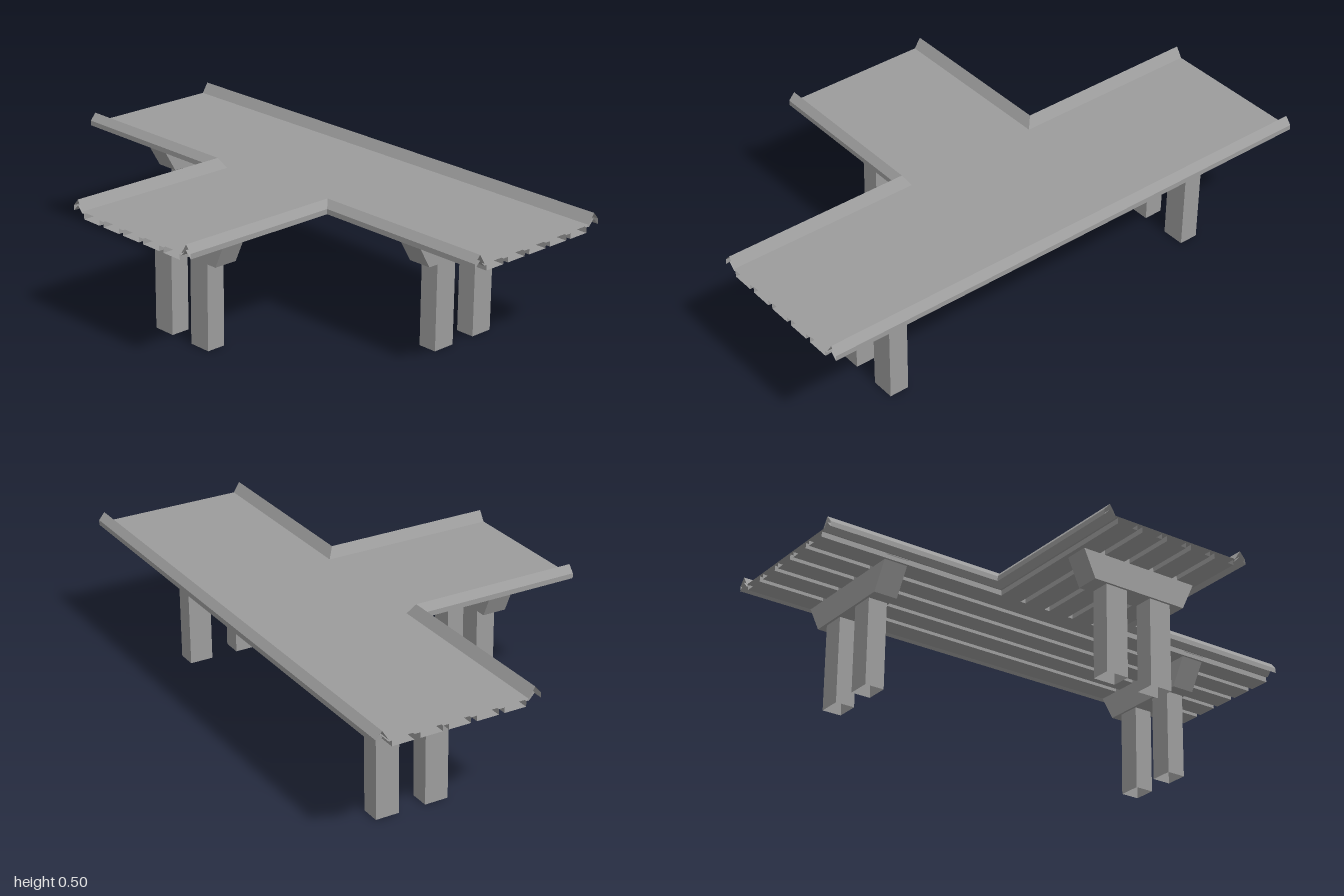
import * as THREE from 'three';

const material = new THREE.MeshStandardMaterial({ color: 0x9c9c9c, flatShading: true, side: THREE.DoubleSide });

function add(parent, name, geometry) {
  const mesh = new THREE.Mesh(geometry, material);
  mesh.name = name;
  parent.add(mesh);
  return mesh;
}

// Sweep an open profile [offset, y] through stations [x, z, offsetX, offsetZ]
function sweep(profile, stations) {
  const rows = stations.map(([x, z, dx, dz]) => profile.map(([d, y]) => [x + d * dx, y, z + d * dz]));
  const pos = [];
  for (let s = 0; s < rows.length - 1; s++) {
    for (let i = 0; i < profile.length - 1; i++) {
      const a = rows[s][i], b = rows[s][i + 1], c = rows[s + 1][i + 1], d = rows[s + 1][i];
      pos.push(...a, ...b, ...c, ...a, ...c, ...d);
    }
  }
  const g = new THREE.BufferGeometry();
  g.setAttribute('position', new THREE.Float32BufferAttribute(pos, 3));
  g.computeVertexNormals();
  return g;
}

// Row of box girders separated by narrow grooves, as an open underside profile
function girderProfile(from, to, count) {
  const pitch = (to - from) / count, gap = 0.011, high = 0.453, low = 0.433;
  const points = [[from, high]];
  for (let i = 0; i < count; i++) {
    const a = from + i * pitch + gap, b = from + (i + 1) * pitch - gap;
    points.push([a, high], [a, low], [b, low], [b, high]);
  }
  points.push([to, high]);
  return points;
}

// Trapezoid cap beam on two open-ended square columns, built along x
function pier(name, top, bottom, columns) {
  const group = new THREE.Group();
  group.name = name;
  const shape = new THREE.Shape([
    new THREE.Vector2(-bottom, 0.33), new THREE.Vector2(bottom, 0.33),
    new THREE.Vector2(top, 0.45), new THREE.Vector2(-top, 0.45)]);
  const cap = new THREE.ExtrudeGeometry(shape, { depth: 0.092, bevelEnabled: false });
  add(group, 'capBeam', cap.translate(0, 0, -0.046));
  for (const x of columns) {
    const column = new THREE.CylinderGeometry(Math.SQRT1_2, Math.SQRT1_2, 0.33, 4, 1, true);
    column.rotateY(Math.PI / 4).scale(0.089, 1, 0.074).translate(x, 0.165, 0);
    add(group, 'column', column);
  }
  return group;
}

export function createModel() {
  const model = new THREE.Group();
  model.name = 'bridgeJunction';

  // T-shaped road surface
  const outline = [[0.045, -1], [0.57, -1], [0.57, 1], [0.045, 1],
    [0.045, 0.265], [-0.62, 0.265], [-0.62, -0.265], [0.045, -0.265]];
  const road = new THREE.ShapeGeometry(new THREE.Shape(outline.map(p => new THREE.Vector2(...p))));
  add(model, 'roadDeck', road.rotateX(-Math.PI / 2).translate(0, 0.459, 0));

  // Ribbed undersides of the main road and the branch
  add(model, 'mainGirders', sweep(girderProfile(0.045, 0.57, 5), [[0, -1, 1, 0], [0, 1, 1, 0]]));
  add(model, 'branchGirders', sweep(girderProfile(-0.265, 0.265, 5), [[0.06, 0, 0, 1], [-0.62, 0, 0, 1]]));

  // Chevron parapets: the outer one is straight, the inner pair turns the corner with a mitre
  const parapet = [[0.047, 0.459], [0.023, 0.497], [0, 0.47], [0, 0.451], [0.024, 0.476], [0.047, 0.451]];
  add(model, 'outerParapet', sweep(parapet, [[0.617, 1, -1, 0], [0.617, -1, -1, 0]]));
  for (const side of [1, -1]) {
    const corner = sweep(parapet, [[-0.62, 0.31, 0, -1], [0, 0.31, 1, -1], [0, 1, 1, 0]]);
    add(model, 'cornerParapet', corner).scale.z = side;
  }

  // Piers
  for (const z of [0.636, -0.695]) {
    const p = pier('mainPier', 0.258, 0.188, [-0.094, 0.097]);
    p.position.set(0.313, 0, z);
    model.add(p);
  }
  const branch = pier('branchPier', 0.248, 0.193, [-0.096, 0.094]);
  branch.position.set(-0.367, 0, 0.002);
  branch.rotation.y = Math.PI / 2;
  model.add(branch);

  return model;
}
